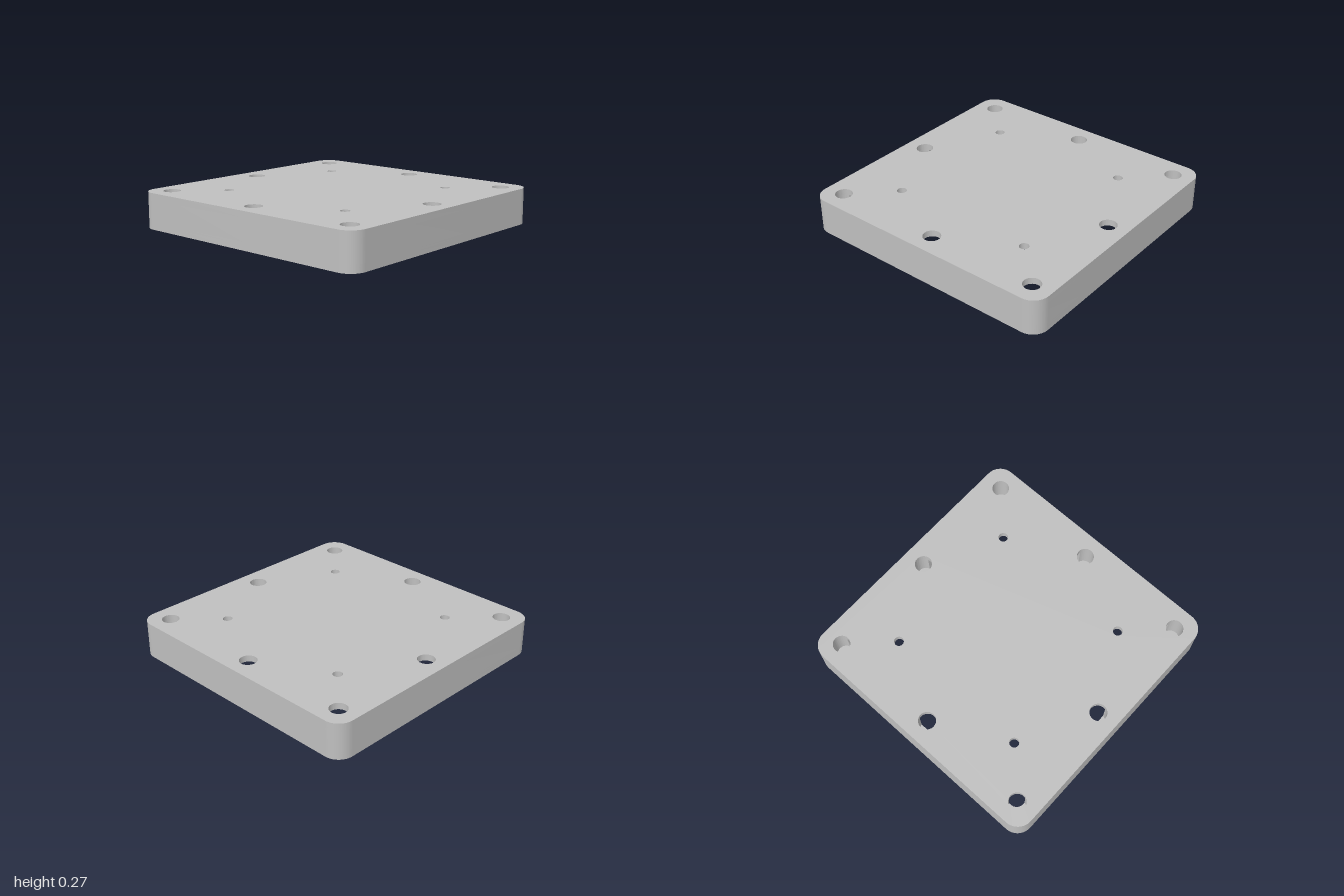
import * as THREE from 'three';
import { toCreasedNormals } from 'three/addons/utils/BufferGeometryUtils.js';

const HOLE_AT = 0.845, HOLE_R = 0.063;    // screw holes round the edge
const SMALL_AT = 0.555, SMALL_R = 0.035;  // inner mounting holes
const POCKET = 0.86;                      // half width of the pocket

// square outline with rounded corners, half width h
function roundedSquare(h, r, path = new THREE.Shape()) {
  const c = h - r;
  [[c, c], [-c, c], [-c, -c], [c, -c]].forEach(([x, y], k) =>
    path.absarc(x, y, r, k * Math.PI / 2, (k + 1) * Math.PI / 2, false));
  path.closePath();
  return path;
}

function circle(x, y, r) {
  return new THREE.Path().absarc(x, y, r, 0, Math.PI * 2, true);
}

// pocket outline widened by the screw holes that bite into its walls
function scallopedPocket() {
  const path = new THREE.Path();
  const a = Math.acos((POCKET - HOLE_AT) / HOLE_R);
  for (let k = 0; k < 4; k++) {
    const t = k * Math.PI / 2, c = Math.round(Math.cos(t)), s = Math.round(Math.sin(t));
    path.absarc(HOLE_AT * c, HOLE_AT * s, HOLE_R, t - a, t + a, false);
    path.absarc(HOLE_AT * (c - s), HOLE_AT * (c + s), HOLE_R, t - a, t + a + Math.PI / 2, false);
  }
  path.closePath();
  return path;
}

export function createModel() {
  const group = new THREE.Group();
  const grey = new THREE.MeshStandardMaterial({ color: 0xbfbfbf });
  grey.name = 'grey';

  // one horizontal slice of the cover between two heights
  function layer(name, y0, y1, holes) {
    const shape = roundedSquare(1, 0.12);
    shape.holes.push(...holes);
    const geo = new THREE.ExtrudeGeometry(shape, { depth: y1 - y0, bevelEnabled: false, curveSegments: 24 });
    geo.rotateX(-Math.PI / 2).translate(0, y0, 0);
    const mesh = new THREE.Mesh(toCreasedNormals(geo, 0.6), grey);
    mesh.name = name;
    group.add(mesh);
  }

  // eight edge holes and four small holes through the top
  const topHoles = [];
  for (const i of [-1, 0, 1]) for (const j of [-1, 0, 1]) {
    if (i || j) topHoles.push(circle(i * HOLE_AT, j * HOLE_AT, HOLE_R));
    if (i && j) topHoles.push(circle(i * SMALL_AT, j * SMALL_AT, SMALL_R));
  }

  layer('bottomRim', 0, 0.04, [roundedSquare(0.92, 0.1, new THREE.Path())]);
  layer('ledge', 0.04, 0.057, [roundedSquare(POCKET, 0.06, new THREE.Path())]);
  layer('pocketWall', 0.057, 0.22, [scallopedPocket()]);
  layer('topPlate', 0.22, 0.267, topHoles);
  return group;
}
